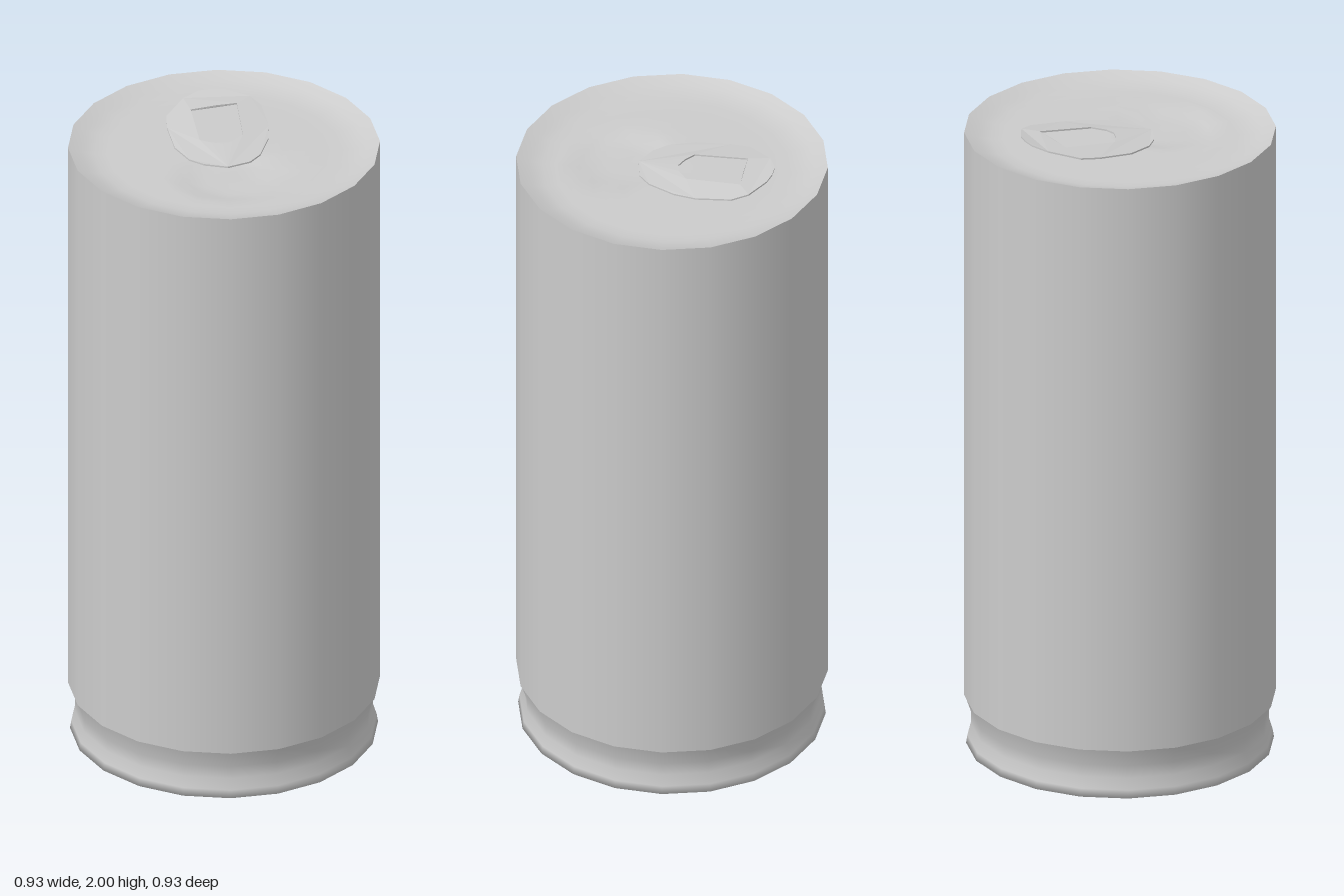
import * as THREE from 'three';
import { mergeVertices } from 'three/addons/utils/BufferGeometryUtils.js';

const SIDES = 20;
const START = THREE.MathUtils.degToRad(13.7);
const material = new THREE.MeshStandardMaterial({ color: 0xcccccc, side: THREE.DoubleSide });

// Turned part from [radius, height] pairs
function turned(profile) {
  const points = profile.map(([r, y]) => new THREE.Vector2(r, y));
  return new THREE.LatheGeometry(points, SIDES, START);
}

// Weld vertices and smooth the shading after a geometry has been reshaped
function smooth(geometry) {
  geometry.deleteAttribute('uv');
  geometry.deleteAttribute('normal');
  const welded = mergeVertices(geometry, 1e-4);
  welded.computeVertexNormals();
  return welded;
}

function bend(geometry, rule) {
  const p = geometry.attributes.position;
  for (let i = 0; i < p.count; i++) p.setY(i, rule(p.getX(i), p.getY(i), p.getZ(i)));
  return geometry;
}

function add(group, name, geometry) {
  const mesh = new THREE.Mesh(geometry, material);
  mesh.name = name;
  group.add(mesh);
}

// Lid: sloping inner rim, flat panel, shallow pressed opening at the front
function lidGeometry() {
  const profile = [[0.468, 1.98], [0.43, 1.965], [0.39, 1.956]];
  for (let r = 0.35; r > 0.02; r -= 0.035) profile.push([r, 1.955]);
  profile.push([0, 1.955]);
  return smooth(bend(turned(profile), (x, y, z) => {
    const d = Math.hypot(x / 0.17, (z - 0.16) / 0.17);
    return y - 0.012 * (1 - THREE.MathUtils.smoothstep(d, 0.6, 1));
  }));
}

// Pull tab: thin oval plate with a finger hole, rising toward the back
function tabGeometry() {
  const toPoints = (list) => list.map(([x, z]) => new THREE.Vector2(x, -z));
  const shape = new THREE.Shape(toPoints([
    [0, 0.105], [0.07, 0.08], [0.105, 0.04], [0.14, -0.05], [0.15, -0.12], [0.14, -0.23],
    [0.11, -0.275], [0.04, -0.31], [0, -0.315], [-0.04, -0.31], [-0.09, -0.28],
    [-0.15, -0.2], [-0.155, -0.14], [-0.145, -0.03], [-0.11, 0.045], [-0.07, 0.08],
  ]));
  shape.holes.push(new THREE.Path(toPoints([
    [-0.075, -0.215], [0, -0.225], [0.067, -0.235], [0.065, -0.065],
    [0.03, -0.03], [0, -0.02], [-0.035, -0.03], [-0.068, -0.05],
  ])));
  const plate = new THREE.ExtrudeGeometry(shape, { depth: 0.005, bevelEnabled: false });
  plate.rotateX(-Math.PI / 2);
  bend(plate, (x, y, z) => y + 1.966 - 0.092 * z - 0.5 * x * x);
  plate.computeVertexNormals();
  return plate;
}

export function createModel() {
  const can = new THREE.Group();
  can.name = 'drinkCan';

  // Domed underside, foot and waist
  add(can, 'base', turned([
    [0, 0.09], [0.12, 0.08], [0.24, 0.055], [0.34, 0.025], [0.4, 0.006], [0.435, 0],
    [0.462, 0], [0.458, 0.025], [0.447, 0.06], [0.447, 0.1], [0.466, 0.155],
  ]));
  add(can, 'body', turned([[0.468, 0.155], [0.468, 1.98]]));
  add(can, 'lid', lidGeometry());
  add(can, 'pullTab', tabGeometry());
  return can;
}
